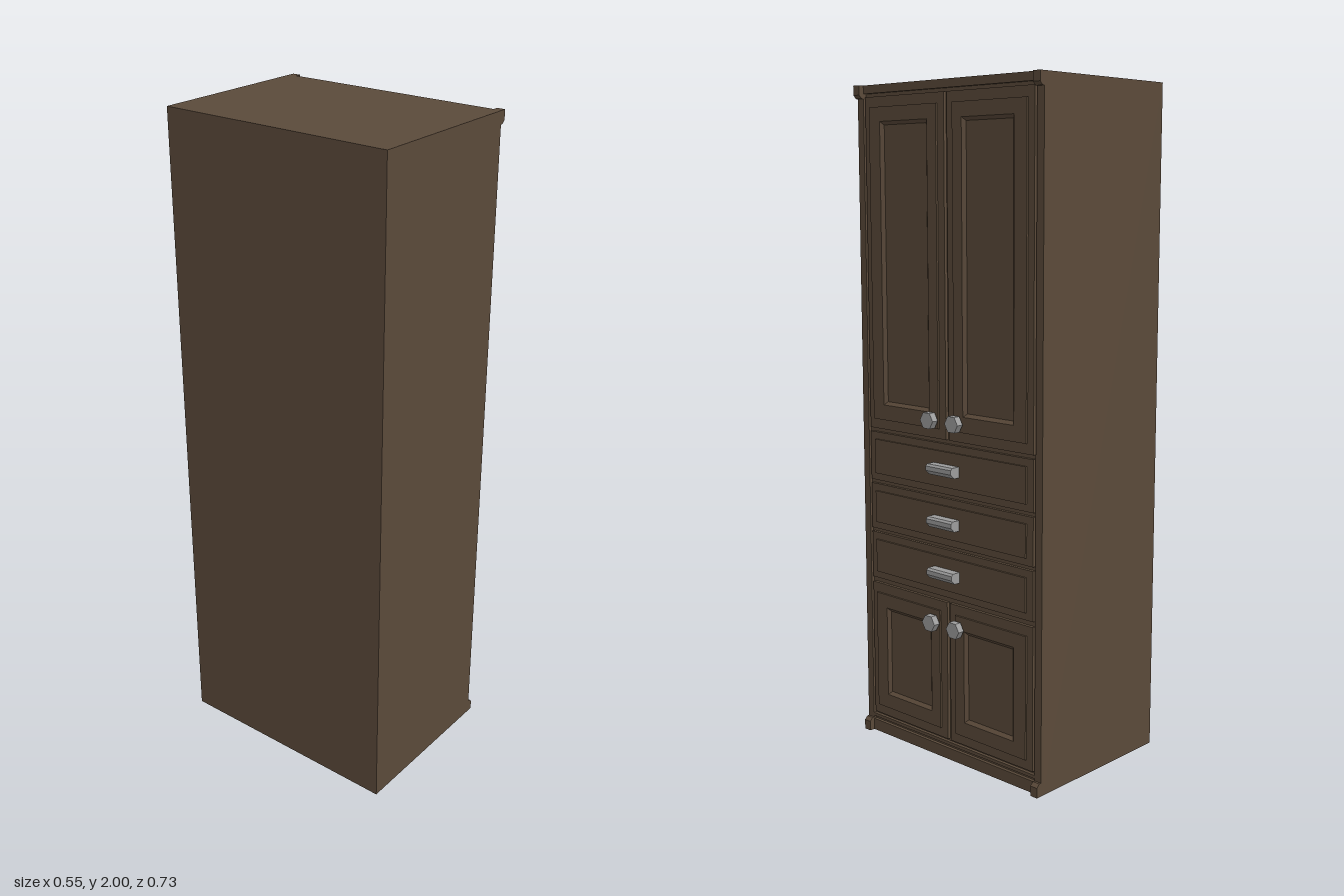
import * as THREE from 'three';

const wood = new THREE.MeshStandardMaterial({ color: 0x5b4a3a });
wood.name = 'dark wood';
const metal = new THREE.MeshStandardMaterial({ color: 0x9c9c9c });
metal.name = 'grey metal';

const BACK = -0.277, CARCASS = 0.226, FACE = 0.236, RAISED = 0.242, HALF = 0.367;

// box from its limits
function box(name, x0, x1, y0, y1, z0, z1) {
  const mesh = new THREE.Mesh(new THREE.BoxGeometry(x1 - x0, y1 - y0, z1 - z0), wood);
  mesh.position.set((x0 + x1) / 2, (y0 + y1) / 2, (z0 + z1) / 2);
  mesh.name = name;
  return mesh;
}

// rectangular loops [y0, y1, z0, z1, x] joined in order, the last one capped
function steppedPanel(name, loops) {
  const rings = loops.map(([y0, y1, z0, z1, x]) => [[x, y0, z1], [x, y0, z0], [x, y1, z0], [x, y1, z1]]);
  const pos = [];
  const quad = (a, b, c, d) => pos.push(...a, ...b, ...c, ...a, ...c, ...d);
  for (let k = 0; k + 1 < rings.length; k++) {
    for (let i = 0; i < 4; i++) {
      const j = (i + 1) % 4;
      quad(rings[k][i], rings[k][j], rings[k + 1][j], rings[k + 1][i]);
    }
  }
  quad(...rings[rings.length - 1]);
  const geo = new THREE.BufferGeometry();
  geo.setAttribute('position', new THREE.Float32BufferAttribute(pos, 3));
  geo.computeVertexNormals();
  const mesh = new THREE.Mesh(geo, wood);
  mesh.name = name;
  return mesh;
}

// profile drawn in x and y, extruded along z
function extrudeZ(name, points, z0, z1, material) {
  const shape = new THREE.Shape(points.map(([x, y]) => new THREE.Vector2(x, y)));
  const geo = new THREE.ExtrudeGeometry(shape, { depth: z1 - z0, bevelEnabled: false });
  const mesh = new THREE.Mesh(geo, material);
  mesh.position.z = z0;
  mesh.name = name;
  return mesh;
}

// door leaf with raised frame and sunken panel; side is +1 or -1
function door(name, side, y0, y1, panelY0, panelY1) {
  const span = (a, b) => (side > 0 ? [a, b] : [-b, -a]);
  const outer = [y0, y1, ...span(0.006, 0.334)];
  const frame = [y0 + 0.03, y1 - 0.03, ...span(0.032, 0.312)];
  const panel = [panelY0, panelY1, ...span(0.069, 0.266)];
  const floor = [panelY0 + 0.01, panelY1 - 0.01, ...span(0.079, 0.256)];
  return steppedPanel(name, [
    [...outer, CARCASS], [...outer, FACE], [...frame, FACE], [...frame, RAISED],
    [...panel, RAISED], [...floor, FACE - 0.003],
  ]);
}

function drawer(y0, y1) {
  const outer = [y0, y1, -0.334, 0.334];
  const front = [y0 + 0.022, y1 - 0.022, -0.31, 0.31];
  return steppedPanel('drawerFront', [
    [...outer, CARCASS], [...outer, FACE], [...front, FACE], [...front, RAISED],
  ]);
}

// six-sided knob on a short stem, points to the sides
function knob(y, z) {
  const group = new THREE.Group();
  group.name = 'knob';
  for (const [name, r, x0, x1] of [['knobStem', 0.015, 0.233, 0.252], ['knobHead', 0.0265, 0.251, 0.272]]) {
    const geo = new THREE.CylinderGeometry(r, r, x1 - x0, 6).toNonIndexed();
    geo.rotateZ(-Math.PI / 2);
    geo.computeVertexNormals();
    const mesh = new THREE.Mesh(geo, metal);
    mesh.position.x = (x0 + x1) / 2;
    mesh.name = name;
    group.add(mesh);
  }
  group.position.set(0, y, z);
  return group;
}

export function createModel() {
  const model = new THREE.Group();
  model.name = 'tallCabinet';

  // carcass and face frame
  model.add(box('carcass', BACK, CARCASS, 0, 2, -HALF, HALF));
  model.add(box('topRail', CARCASS, FACE, 1.976, 2, -0.342, 0.342));
  model.add(box('bottomRail', CARCASS, FACE, 0.046, 0.056, -0.342, 0.342));
  model.add(box('plinthRail', CARCASS, FACE, 0, 0.036, -0.342, 0.342));

  for (const side of [1, -1]) {
    const z0 = side > 0 ? 0.342 : -HALF;
    const z1 = z0 + HALF - 0.342;
    model.add(box('stile', CARCASS, FACE, 0, 2, z0, z1));

    // corner blocks, tapered towards the stile
    model.add(extrudeZ('topCornerBlock',
      [[FACE, 1.962], [0.243, 1.962], [0.253, 1.972], [0.253, 2], [FACE, 2]], z0, z1, wood));
    model.add(extrudeZ('bottomCornerBlock',
      [[FACE, 0], [0.253, 0], [0.253, 0.03], [0.243, 0.04], [FACE, 0.04]], z0, z1, wood));

    // doors and knobs
    model.add(door('upperDoor', side, 0.982, 1.966, 1.058, 1.894));
    model.add(door('lowerDoor', side, 0.064, 0.492, 0.138, 0.42));
    model.add(knob(1.038, side * 0.0505), knob(0.426, side * 0.0505));
  }

  // drawers with bar pulls chamfered below
  for (const [y0, y1] of [[0.82, 0.97], [0.666, 0.808], [0.508, 0.654]]) {
    model.add(drawer(y0, y1));
    const y = (y0 + y1) / 2;
    model.add(extrudeZ('drawerPull', [
      [RAISED - 0.002, y - 0.016], [0.262, y - 0.016], [0.275, y - 0.003],
      [0.275, y + 0.01], [0.269, y + 0.016], [RAISED - 0.002, y + 0.016],
    ], -0.052, 0.052, metal));
  }
  return model;
}
